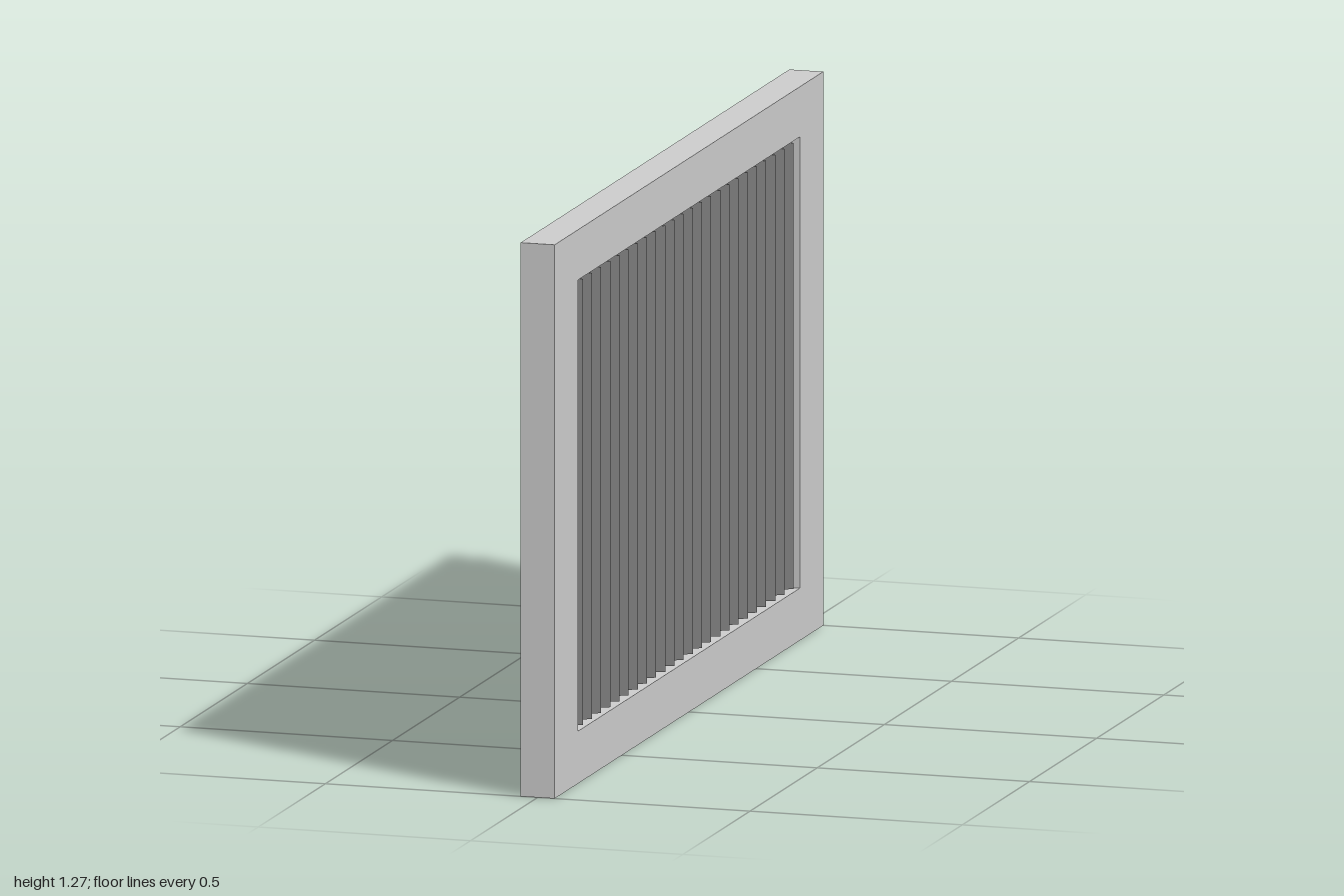
import * as THREE from 'three';

const HEIGHT = 1.27, LENGTH = 2, DEPTH = 0.08;
const OPEN_Z = 0.825, OPEN_Y0 = 0.12, OPEN_Y1 = 1.155;
const RIBS = 24, GAP = 0.006;

export function createModel() {
  const group = new THREE.Group();
  const frameMat = new THREE.MeshStandardMaterial({ color: 0xcccccc });
  const ribMat = new THREE.MeshStandardMaterial({ color: 0x7d7d7d });

  // Rectangular frame: outline with one opening, extruded through its thickness
  const outline = new THREE.Shape([
    new THREE.Vector2(-LENGTH / 2, 0), new THREE.Vector2(LENGTH / 2, 0),
    new THREE.Vector2(LENGTH / 2, HEIGHT), new THREE.Vector2(-LENGTH / 2, HEIGHT),
  ]);
  outline.holes.push(new THREE.Path([
    new THREE.Vector2(-OPEN_Z, OPEN_Y0), new THREE.Vector2(-OPEN_Z, OPEN_Y1),
    new THREE.Vector2(OPEN_Z, OPEN_Y1), new THREE.Vector2(OPEN_Z, OPEN_Y0),
  ]));
  const frameGeo = new THREE.ExtrudeGeometry(outline, { depth: DEPTH, bevelEnabled: false });
  frameGeo.translate(0, 0, -DEPTH / 2).rotateY(Math.PI / 2);
  const frame = new THREE.Mesh(frameGeo, frameMat);
  frame.name = 'frame';
  group.add(frame);

  // Row of upright triangular ribs: flat at the back, ridged towards +x
  const pitch = 2 * (OPEN_Z - GAP) / RIBS;
  const half = pitch / 2;
  const back = -0.021, ridge = back + half * Math.sqrt(3);
  const section = new THREE.Shape([
    new THREE.Vector2(back, -half), new THREE.Vector2(ridge, 0), new THREE.Vector2(back, half),
  ]);
  const ribGeo = new THREE.ExtrudeGeometry(section, {
    depth: OPEN_Y1 - OPEN_Y0 - 2 * GAP, bevelEnabled: false,
  });
  ribGeo.rotateX(-Math.PI / 2);

  const ribs = new THREE.Group();
  ribs.name = 'ribbedPanel';
  for (let i = 0; i < RIBS; i++) {
    const rib = new THREE.Mesh(ribGeo, ribMat);
    rib.name = 'rib';
    rib.position.set(0, OPEN_Y0 + GAP, (i - (RIBS - 1) / 2) * pitch);
    ribs.add(rib);
  }
  group.add(ribs);
  return group;
}
